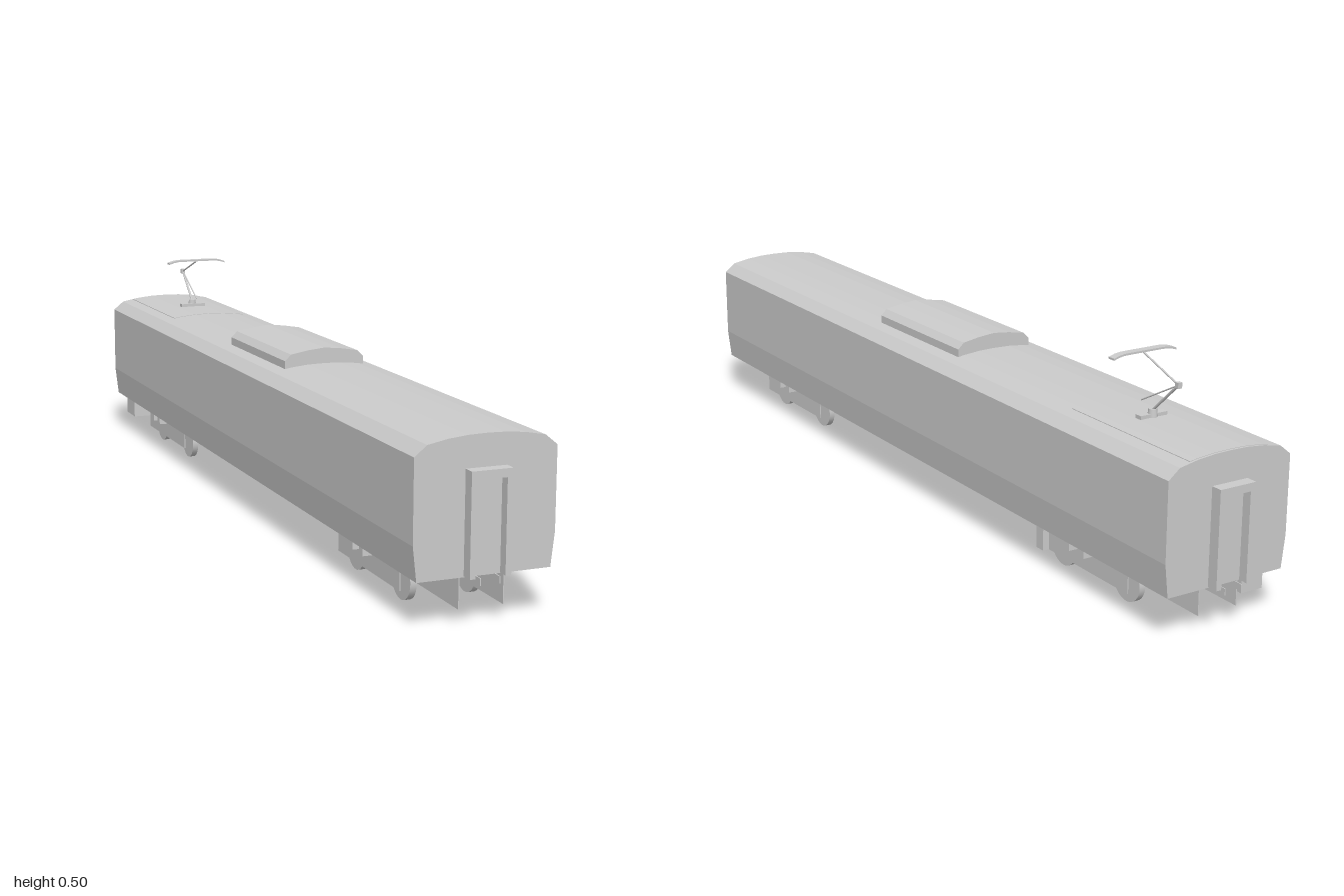
import * as THREE from 'three';

const grey = new THREE.MeshStandardMaterial({ color: 0xcccccc, side: THREE.DoubleSide });

function add(parent, name, geometry, x = 0, y = 0, z = 0) {
  const mesh = new THREE.Mesh(geometry, grey);
  mesh.name = name;
  mesh.position.set(x, y, z);
  parent.add(mesh);
  return mesh;
}

// Box given by its two extreme corners
function block(parent, name, [x0, y0, z0], [x1, y1, z1]) {
  return add(parent, name, new THREE.BoxGeometry(x1 - x0, y1 - y0, z1 - z0),
    (x0 + x1) / 2, (y0 + y1) / 2, (z0 + z1) / 2);
}

// Extrudes a symmetric outline, given by its +x half from bottom to top centre
function symmetricExtrude(half, depth) {
  const mirrored = half.filter(([x]) => x > 0).reverse().map(([x, y]) => [-x, y]);
  const shape = new THREE.Shape([...half, ...mirrored].map(([x, y]) => new THREE.Vector2(x, y)));
  return new THREE.ExtrudeGeometry(shape, { depth, bevelEnabled: false });
}

// Thin round bar between two points in the x = 0.003 plane, as [y, z]
function rod(parent, name, [y0, z0], [y1, z1], radius) {
  const a = new THREE.Vector3(0.003, y0, z0), b = new THREE.Vector3(0.003, y1, z1);
  const mesh = add(parent, name, new THREE.CylinderGeometry(radius, radius, a.distanceTo(b), 8));
  mesh.position.copy(a).lerp(b, 0.5);
  mesh.quaternion.setFromUnitVectors(new THREE.Vector3(0, 1, 0), b.sub(a).normalize());
}

function bogie(wheelZs, z0, z1, bracketZ) {
  const group = new THREE.Group();
  group.name = 'bogie';
  for (const side of [-1, 1]) {
    for (const z of wheelZs) {
      const wheel = new THREE.CylinderGeometry(0.0435, 0.0435, 0.014, 32);
      wheel.rotateZ(Math.PI / 2);
      add(group, 'wheel', wheel, side * 0.07, 0.0435, z);
    }
    block(group, 'sideFrame', [side * 0.1 - 0.001, 0.033, z0], [side * 0.1 + 0.001, 0.085, z1]);
    for (const dz of [-0.025, 0.025]) {
      block(group, 'suspensionBracket', [side * 0.1 - 0.03, 0.075, bracketZ + dz - 0.009],
        [side * 0.1 + 0.03, 0.099, bracketZ + dz + 0.009]);
    }
  }
  return group;
}

// Door frame, open at the bottom, standing proud of the end wall
function gangway(end) {
  const group = new THREE.Group();
  group.name = 'gangway';
  const points = [[-0.043, 0.1], [-0.031, 0.1], [-0.031, 0.288], [0.031, 0.288],
    [0.031, 0.1], [0.043, 0.1], [0.043, 0.305], [-0.043, 0.305]];
  const shape = new THREE.Shape(points.map(([x, y]) => new THREE.Vector2(x, y)));
  add(group, 'doorFrame', new THREE.ExtrudeGeometry(shape, { depth: 0.027, bevelEnabled: false }), 0, 0, 0.973);
  block(group, 'door', [-0.031, 0.1, 0.973], [0.031, 0.288, 0.979]);
  for (const x of [-0.02, 0.02]) {
    block(group, 'couplerPlate', [x - 0.001, 0.086, 0.95], [x + 0.001, 0.1, 0.999]);
  }
  if (end < 0) group.rotation.y = Math.PI;
  return group;
}

function pantograph() {
  const group = new THREE.Group();
  group.name = 'pantograph';
  block(group, 'base', [-0.03, 0.367, -0.742], [0.036, 0.377, -0.725]);
  const insulator = new THREE.CylinderGeometry(0.009, 0.011, 0.02, 12);
  add(group, 'insulator', insulator, 0.003, 0.377, -0.737);
  const knee = [0.455, -0.815];
  rod(group, 'lowerArm', [0.38, -0.733], knee, 0.003);
  rod(group, 'upperArm', knee, [0.495, -0.7], 0.002);
  rod(group, 'controlRod', knee, [0.395, -0.7], 0.0015);
  block(group, 'kneeJoint', [-0.002, 0.449, -0.82], [0.008, 0.461, -0.81]);
  // Contact strip with drooping horns
  const strip = new THREE.BoxGeometry(0.155, 0.004, 0.018, 12, 1, 1);
  const p = strip.attributes.position;
  for (let i = 0; i < p.count; i++) {
    const over = Math.max(0, Math.abs(p.getX(i)) - 0.045);
    p.setY(i, p.getY(i) - 6 * over * over);
  }
  strip.computeVertexNormals();
  add(group, 'contactStrip', strip, 0.003, 0.498, -0.7);
  return group;
}

export function createModel() {
  const model = new THREE.Group();
  model.name = 'railCar';

  // Car shell and roof unit
  const bodyHalf = [[0.14, 0.098], [0.148, 0.168], [0.148, 0.335], [0.122, 0.356], [0.08, 0.364],
    [0.04, 0.368], [0, 0.369]];
  add(model, 'body', symmetricExtrude(bodyHalf, 1.95), 0, 0, -0.975);
  const unitHalf = [[0.094, 0.355], [0.094, 0.379], [0.08, 0.393], [0.04, 0.4], [0, 0.404]];
  add(model, 'roofUnit', symmetricExtrude(unitHalf, 0.35), 0, 0, -0.15);

  // Thin roof panel under the pantograph
  const panelHalf = [[0.095, 0.36], [0.095, 0.3625], [0.08, 0.365], [0.04, 0.369], [0, 0.37]];
  add(model, 'roofPanel', symmetricExtrude(panelHalf, 0.38), 0, 0, -0.97);
  model.add(pantograph());

  // Ends
  model.add(gangway(1), gangway(-1));

  // Underframe: long sills, bogies and equipment boxes
  for (const x of [-0.047, 0.047]) {
    block(model, 'sill', [x - 0.001, 0.033, -0.955], [x + 0.001, 0.1, 0.965]);
  }
  model.add(bogie([0.775, 0.556], 0.52, 0.82, 0.675));
  model.add(bogie([-0.545, -0.765], -0.8, -0.5, -0.655));
  block(model, 'rearEquipmentBox', [-0.125, 0.047, -0.94], [-0.072, 0.099, -0.87]);
  block(model, 'sideEquipmentBox', [0.086, 0.033, -0.525], [0.116, 0.099, -0.5]);

  return model;
}
